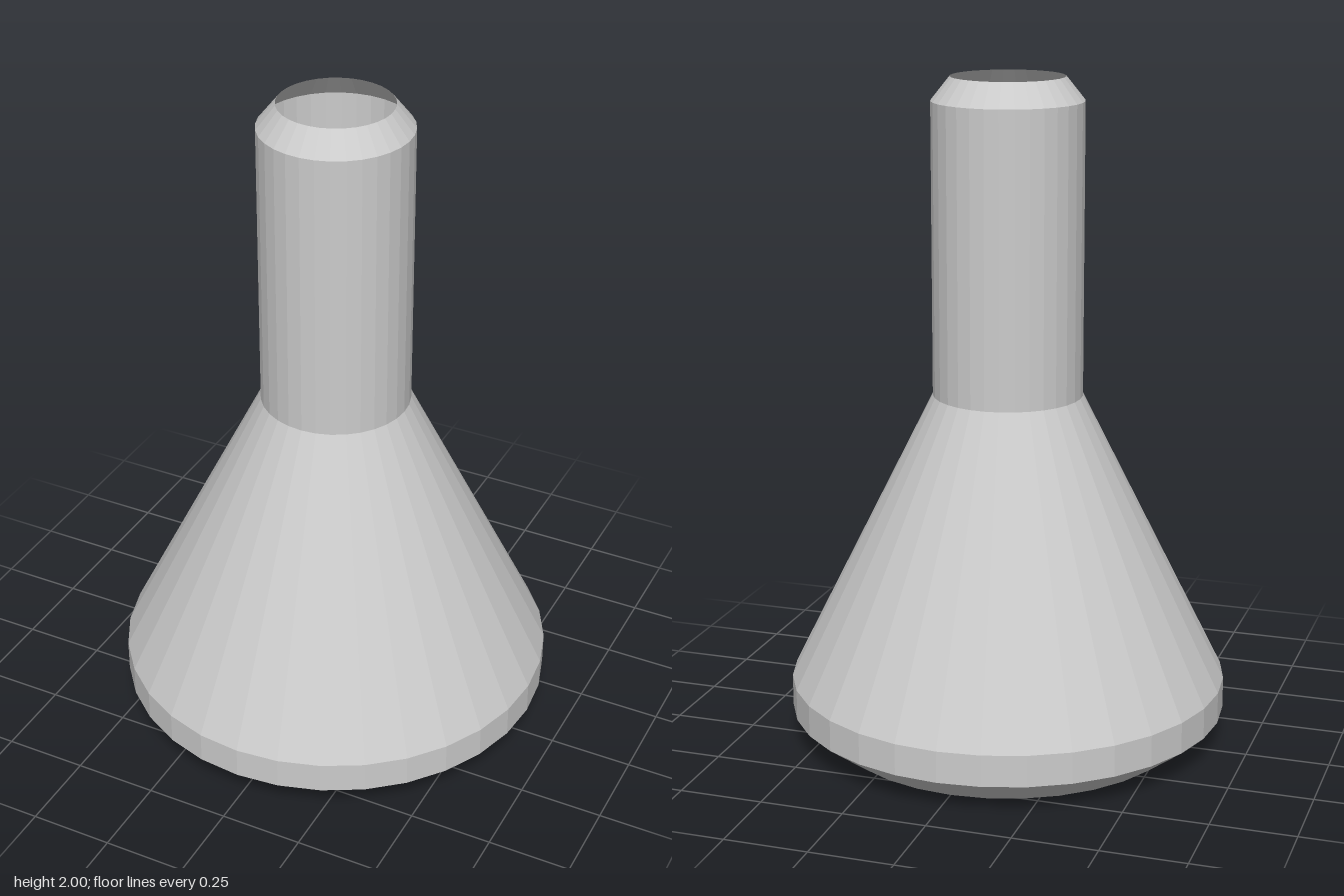
import * as THREE from 'three';

const SIDES = 32;

export function createModel() {
  const group = new THREE.Group();
  group.name = 'flask';
  // Thin open shell, so both faces show
  const material = new THREE.MeshStandardMaterial({
    color: 0xcccccc, flatShading: true, side: THREE.DoubleSide,
  });

  // One turned band of the shell from a [radius, height] profile, bottom to top
  const addBand = (name, profile) => {
    const points = profile.map(([r, y]) => new THREE.Vector2(r, y));
    const mesh = new THREE.Mesh(new THREE.LatheGeometry(points, SIDES), material);
    mesh.name = name;
    group.add(mesh);
  };

  // Closed foot with a chamfered lower edge and a short upright rim
  addBand('base', [[0, 0], [0.54, 0], [0.66, 0.09], [0.66, 0.185]]);
  // Conical body
  addBand('body', [[0.66, 0.185], [0.224, 1.06]]);
  // Straight neck
  addBand('neck', [[0.224, 1.06], [0.224, 1.93]]);
  // Inward-sloping lip, open at the top
  addBand('lip', [[0.224, 1.93], [0.168, 2]]);

  return group;
}
